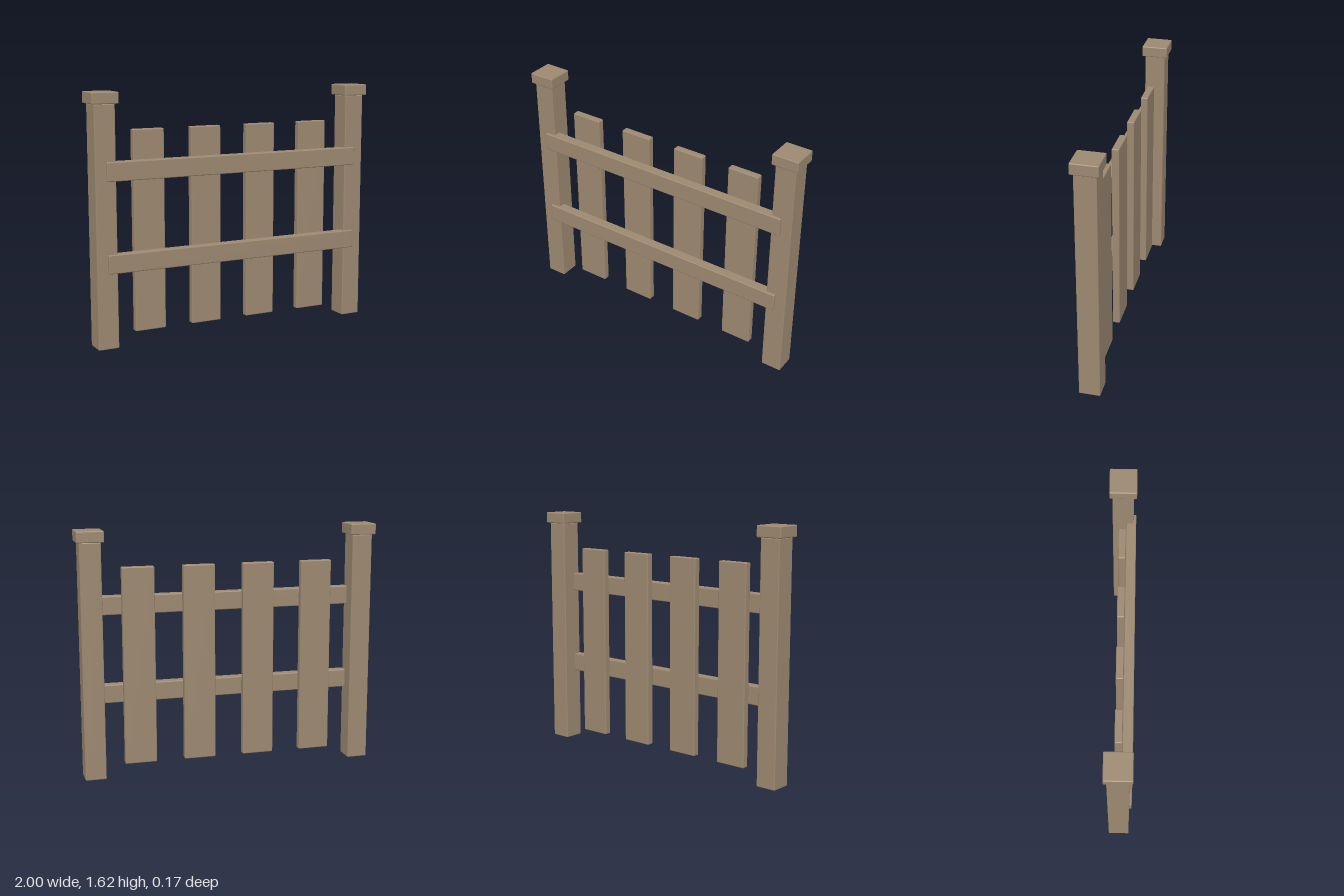
import * as THREE from 'three';
import { RoundedBoxGeometry } from 'three/addons/geometries/RoundedBoxGeometry.js';

const wood = new THREE.MeshStandardMaterial({ color: 0x9c8870 });
wood.name = 'weathered wood';

// Softly bevelled board given by its min and max on each axis
function board(name, [x0, x1], [y0, y1], [z0, z1]) {
  const geometry = new RoundedBoxGeometry(x1 - x0, y1 - y0, z1 - z0, 2, 0.007);
  const mesh = new THREE.Mesh(geometry, wood);
  mesh.name = name;
  mesh.position.set((x0 + x1) / 2, (y0 + y1) / 2, (z0 + z1) / 2);
  return mesh;
}

export function createModel() {
  const fence = new THREE.Group();
  fence.name = 'fence';

  // End posts with square caps
  for (const [side, s] of [['left', 1], ['right', -1]]) {
    const x = s * 0.911;
    fence.add(board(side + 'Post', [x - 0.069, x + 0.069], [0, 1.547], [-0.069, 0.069]));
    fence.add(board(side + 'PostCap', [x - 0.088, x + 0.088], [1.547, 1.62], [-0.087, 0.087]));
  }

  // Horizontal rails across the front
  for (const [name, y] of [['lowerRail', 0.548], ['upperRail', 1.13]]) {
    fence.add(board(name, [-0.908, 0.908], [y - 0.061, y + 0.061], [0.02, 0.086]));
  }

  // Upright pickets behind the rails
  [-0.602, -0.201, 0.201, 0.602].forEach((x, i) => {
    fence.add(board('picket' + (i + 1), [x - 0.106, x + 0.106], [0.077, 1.38], [-0.027, 0.021]));
  });

  return fence;
}
